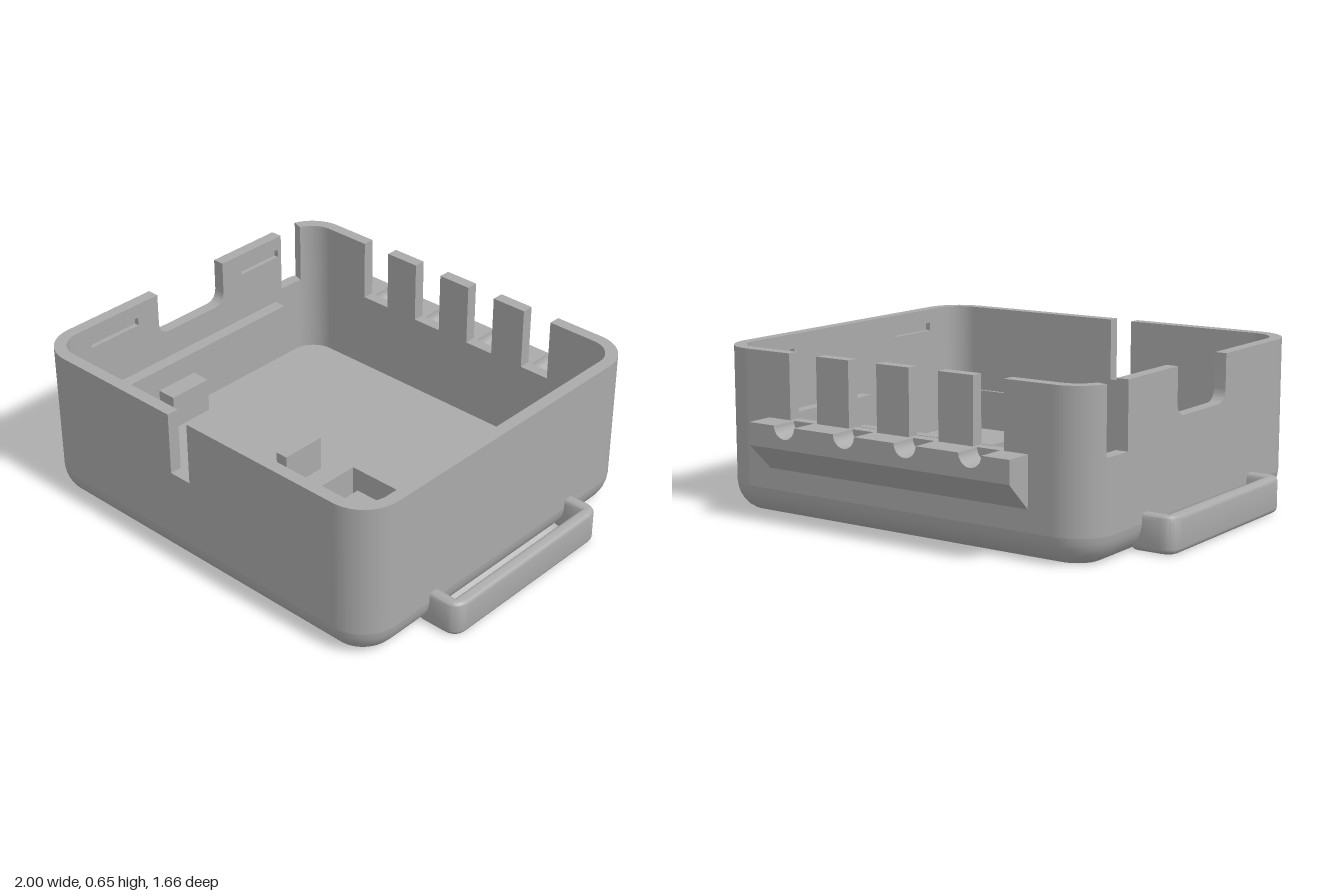
import * as THREE from 'three';
import { toCreasedNormals } from 'three/addons/utils/BufferGeometryUtils.js';

const W = 0.87, ZB = -0.72, ZF = 0.83, R = 0.16, T = 0.05;   // outer walls, corner radius, wall thickness
const TOP = 0.65, WALL_Y = 0.105, CUT = 0.39, FLOOR = 0.05;
const SLOTS = [-0.435, -0.145, 0.14, 0.43];                  // cable slots in the back

export function createModel() {
  const model = new THREE.Group();
  model.name = 'enclosure';
  const grey = new THREE.MeshStandardMaterial({ color: 0xaaaaaa });
  grey.name = 'grey plastic';

  const add = (name, geo) => {
    const mesh = new THREE.Mesh(geo, grey);
    mesh.name = name;
    model.add(mesh);
    return mesh;
  };
  const box = (name, x0, x1, y0, y1, z0, z1) => {
    const g = new THREE.BoxGeometry(x1 - x0, y1 - y0, z1 - z0);
    add(name, g.translate((x0 + x1) / 2, (y0 + y1) / 2, (z0 + z1) / 2));
  };
  const extrude = (shape, depth, extra) => toCreasedNormals(
    new THREE.ExtrudeGeometry(shape, { depth, bevelEnabled: false, curveSegments: 16, ...extra }), 0.6);
  // plan shape (x, z) raised from y0 to y1
  const plan = (name, shape, y0, y1) => add(name, extrude(shape, y1 - y0).rotateX(Math.PI / 2).translate(0, y1, 0));
  // side elevation (z, y) spanning x0 to x1
  const sideOn = (name, shape, x0, x1) => add(name, extrude(shape, x1 - x0).rotateY(-Math.PI / 2).translate(x1, 0, 0));
  // front elevation (x, y) spanning z0 to z1
  const frontOn = (name, shape, z0, z1) => add(name, extrude(shape, z1 - z0).translate(0, 0, z0));

  const poly = pts => new THREE.Shape(pts.map(p => new THREE.Vector2(...p)));
  const rect = (a, b, c, d) => poly([[a, c], [b, c], [b, d], [a, d]]);
  const outline = (inset, n = 12) => {
    const pts = [], r = R - inset;
    [[1, 1], [-1, 1], [-1, -1], [1, -1]].forEach(([sx, sz], q) => {
      for (let i = 0; i <= n; i++) {
        const t = (q + i / n) * Math.PI / 2;
        pts.push([sx * (W - R) + r * Math.cos(t), (sz > 0 ? ZF - R : ZB + R) + r * Math.sin(t)]);
      }
    });
    return pts;
  };
  const stadium = (x0, x1, z0, z1) => {
    const r = (z1 - z0) / 2, z = (z0 + z1) / 2, s = new THREE.Shape();
    s.absarc(x1 - r, z, r, -Math.PI / 2, Math.PI / 2, false);
    s.absarc(x0 + r, z, r, Math.PI / 2, Math.PI * 1.5, false);
    return s;
  };

  // Rounded lower skirt, lofted from inset outlines
  const profile = [[0.065, 0], [0.042, 0.015], [0.024, 0.035], [0.01, 0.06], [0.003, 0.083], [0, WALL_Y]];
  const pos = [], idx = [];
  profile.forEach(([inset, y]) => outline(inset).forEach(([x, z]) => pos.push(x, y, z)));
  const n = pos.length / 3 / profile.length;
  for (let j = 0; j < profile.length - 1; j++) for (let i = 0; i < n; i++) {
    const a = j * n + i, b = j * n + (i + 1) % n;
    idx.push(a, a + n, b, b, a + n, b + n);
  }
  const skirt = new THREE.BufferGeometry();
  skirt.setAttribute('position', new THREE.Float32BufferAttribute(pos, 3));
  skirt.setIndex(idx);
  skirt.computeVertexNormals();
  add('roundedSkirt', skirt);

  // Floor in two layers: strap pockets below, oblong holes above
  const holes = () => [stadium(0.195, 0.33, 0.635, 0.705), stadium(0.65, 0.785, 0.635, 0.705)];
  const under = poly(outline(0.065));
  under.holes.push(rect(0.18, 0.35, 0.62, 0.735), rect(0.63, 0.79, 0.62, 0.735));
  plan('bottomPlate', under, 0, 0.03);
  const upper = poly(outline(0.04));
  upper.holes.push(...holes());
  plan('floor', upper, 0.03, FLOOR);
  const liner = poly(outline(0.03));
  liner.holes.push(poly(outline(T)));
  plan('skirtLiner', liner, 0.03, WALL_Y + 0.002);

  // Rounded corners; the right back one is trimmed by the side slot
  const corner = (name, sx, cz, a0, a1, y0, y1) => {
    const s = new THREE.Shape(), cx = sx * (W - R);
    s.absarc(cx, cz, R, a0, a1, false);
    s.absarc(cx, cz, R - T, a1, a0, true);
    plan(name, s, y0, y1);
  };
  const H = Math.PI / 2;
  corner('frontLeftCorner', 1, ZF - R, 0, H, WALL_Y, TOP);
  corner('frontRightCorner', -1, ZF - R, H, 2 * H, WALL_Y, TOP);
  corner('backLeftCorner', 1, ZB + R, 3 * H, 4 * H, WALL_Y, TOP);
  corner('backRightCorner', -1, ZB + R, 2 * H, 3 * H, WALL_Y, CUT);
  corner('backRightCornerTop', -1, ZB + R, 2 * H + 0.32, 3 * H, CUT, TOP);

  // Front wall with slit, back wall with four slots
  const notched = cuts => {
    const e = W - R, pts = [[-e, TOP], [-e, WALL_Y], [e, WALL_Y], [e, TOP]];
    [...cuts].reverse().forEach(([a, b]) => pts.push([b, TOP], [b, CUT], [a, CUT], [a, TOP]));
    return poly(pts);
  };
  frontOn('frontWall', notched([[-0.12, -0.02]]), ZF - T, ZF);
  frontOn('backWall', notched(SLOTS.map(x => [x - 0.067, x + 0.067])), ZB, ZB + T);

  // Side walls: plain outer skin and inner skin with catch grooves
  const z0 = ZB + R, z1 = ZF - R;
  const rightWall = () => {
    const s = new THREE.Shape(), r = 0.06, b = 0.46;
    s.moveTo(z0, CUT).lineTo(z0, WALL_Y).lineTo(z1, WALL_Y).lineTo(z1, TOP).lineTo(0.24, TOP).lineTo(0.24, b + r);
    s.quadraticCurveTo(0.24, b, 0.24 - r, b).lineTo(-0.13 + r, b);
    s.quadraticCurveTo(-0.13, b, -0.13, b + r).lineTo(-0.13, TOP).lineTo(-0.48, TOP).lineTo(-0.48, CUT);
    return s;
  };
  const leftWall = () => rect(z0, z1, WALL_Y, TOP);
  const grooved = (s, back) => {
    s.holes.push(rect(0.35, 0.6, 0.555, 0.59), rect(back, back + 0.22, 0.555, 0.59));
    return s;
  };
  sideOn('leftWall', leftWall(), W - 0.03, W);
  sideOn('leftWallInner', grooved(leftWall(), -0.54), W - T, W - 0.03);
  sideOn('rightWall', rightWall(), -W, -W + 0.03);
  sideOn('rightWallInner', grooved(rightWall(), -0.46), -W + 0.03, -W + T);

  // Cable shelf on the back: channelled top over a sloped underside
  const shelf = new THREE.Shape();
  shelf.moveTo(-0.605, 0.30).lineTo(0.605, 0.30).lineTo(0.605, CUT);
  [...SLOTS].reverse().forEach(x => shelf.absarc(x, CUT, 0.05, 0, -Math.PI, true));
  shelf.lineTo(-0.605, CUT);
  frontOn('cableShelf', shelf, -0.835, ZB);
  sideOn('shelfSupport', poly([[-0.835, 0.30], [ZB, 0.19], [ZB, 0.30]]), -0.605, 0.605);

  // Strap loops on both sides
  const v = 0.02;
  const loop = sx => {
    const s = new THREE.Shape(), a = -0.375 + v, b = 0.485 - v, o = 1 - v, r = 0.04;
    const P = (x, z) => [sx * x, z];
    s.moveTo(...P(0.85, a)).lineTo(...P(o - r, a));
    s.quadraticCurveTo(...P(o, a), ...P(o, a + r)).lineTo(...P(o, b - r));
    s.quadraticCurveTo(...P(o, b), ...P(o - r, b)).lineTo(...P(0.85, b));
    s.lineTo(...P(0.85, b - 0.012)).lineTo(...P(o - 0.012, b - 0.012));
    s.lineTo(...P(o - 0.012, a + 0.012)).lineTo(...P(0.85, a + 0.012));
    const g = extrude(s, 0.145 - 2 * v, { bevelEnabled: true, bevelSize: v, bevelThickness: v, bevelSegments: 4 });
    add(sx > 0 ? 'leftStrapLoop' : 'rightStrapLoop', g.rotateX(Math.PI / 2).translate(0, 0.145 - v, 0));
  };
  loop(1);
  loop(-1);

  // Board rails and locating posts
  box('leftRail', 0.767, 0.825, 0.305, 0.34, -0.44, 0.11);
  box('rightRail', -0.825, -0.767, 0.305, 0.34, -0.44, 0.55);
  box('middlePost', -0.13, -0.075, FLOOR, 0.2, 0.06, 0.26);
  box('sidePost', -0.825, -0.735, FLOOR, 0.2, 0.06, 0.26);

  // Module bay: L-shaped divider, two pads and a backing plate
  box('bayDividerLong', 0.12, 0.165, FLOOR, 0.2, 0.085, 0.785);
  box('bayDividerCross', 0.165, 0.825, FLOOR, 0.2, 0.085, 0.13);
  box('rearPad', 0.19, 0.79, FLOOR, 0.1, 0.13, 0.235);
  const pad = rect(0.19, 0.79, 0.52, 0.765);
  pad.holes.push(...holes());
  plan('frontPad', pad, FLOOR, 0.1);
  box('bayBackPlate', 0.19, 0.79, FLOOR, 0.275, 0.765, 0.785);

  return model;
}
